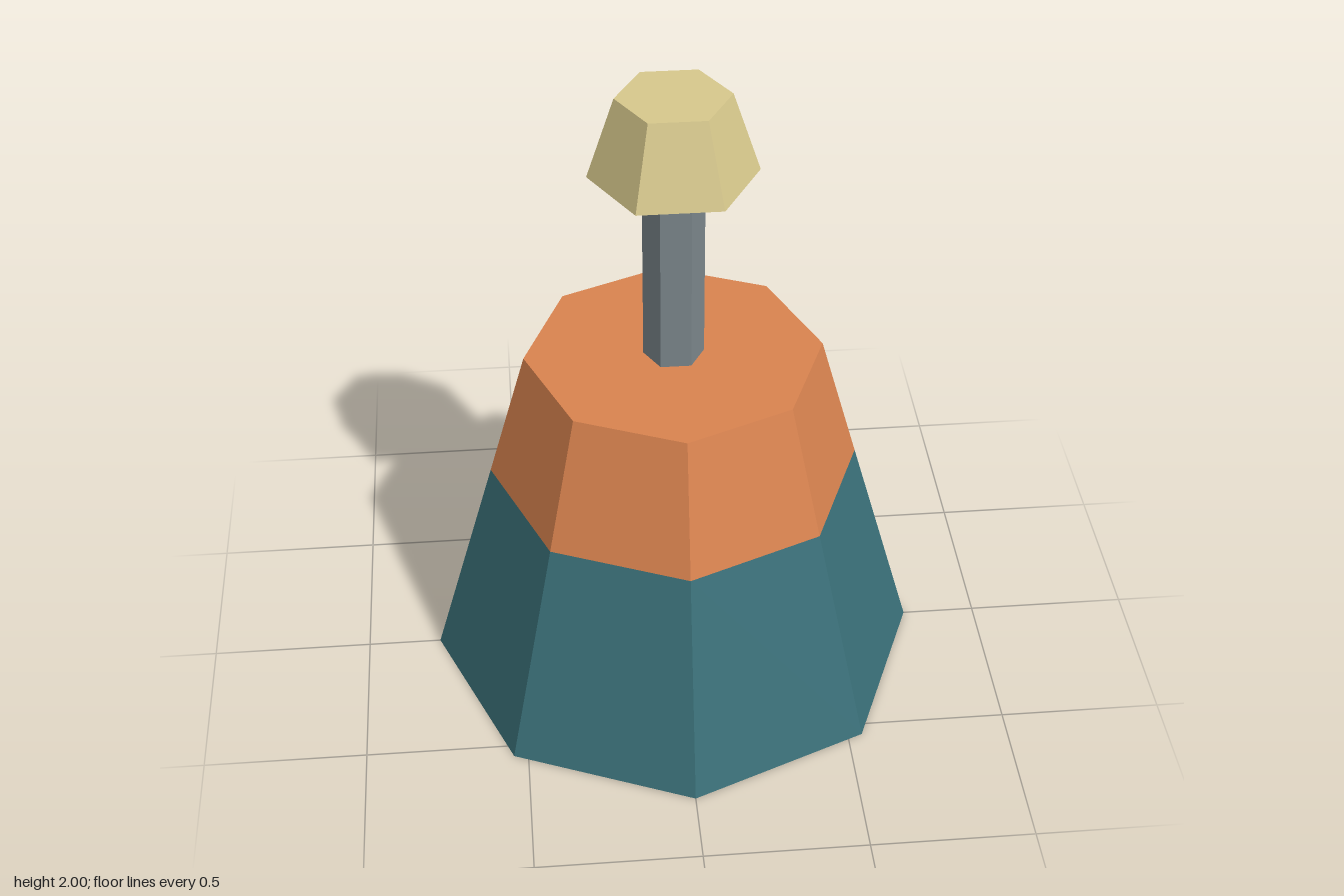
import * as THREE from 'three';

const material = (name, color) => {
  const m = new THREE.MeshStandardMaterial({ color, flatShading: true });
  m.name = name;
  return m;
};

// Faceted solid of revolution from [radius, y] pairs, listed bottom to top
function facetedPart(name, mat, sides, profile, startAngle = 0) {
  const points = profile.map(([r, y]) => new THREE.Vector2(r, y));
  const mesh = new THREE.Mesh(new THREE.LatheGeometry(points, sides, startAngle), mat);
  mesh.name = name;
  return mesh;
}

export function createModel() {
  const teal = material('teal', 0x3a7079);
  const orange = material('orange', 0xd9834f);
  const grey = material('grey', 0x7b868b);
  const cream = material('cream', 0xd7c88c);

  const BAND_Y = 0.705, BAND_R = 0.571, TOP_Y = 1.125, CAP_Y = 1.75;
  const hexTurn = Math.PI / 2; // hexagon corners point along x

  const model = new THREE.Group();
  model.name = 'taperedBodyWithKnob';
  model.add(
    // Octagonal body: lower part closed below, upper part closed above
    facetedPart('lowerBody', teal, 8, [[0, 0], [0.77, 0], [BAND_R, BAND_Y]]),
    facetedPart('upperBody', orange, 8, [[BAND_R, BAND_Y], [0.453, TOP_Y], [0, TOP_Y]]),
    // Hexagonal stem and flared cap
    facetedPart('stem', grey, 6, [[0.092, TOP_Y], [0.092, CAP_Y]], hexTurn),
    facetedPart('cap', cream, 6, [[0, CAP_Y], [0.25, CAP_Y], [0.168, 2], [0, 2]], hexTurn),
  );
  return model;
}
